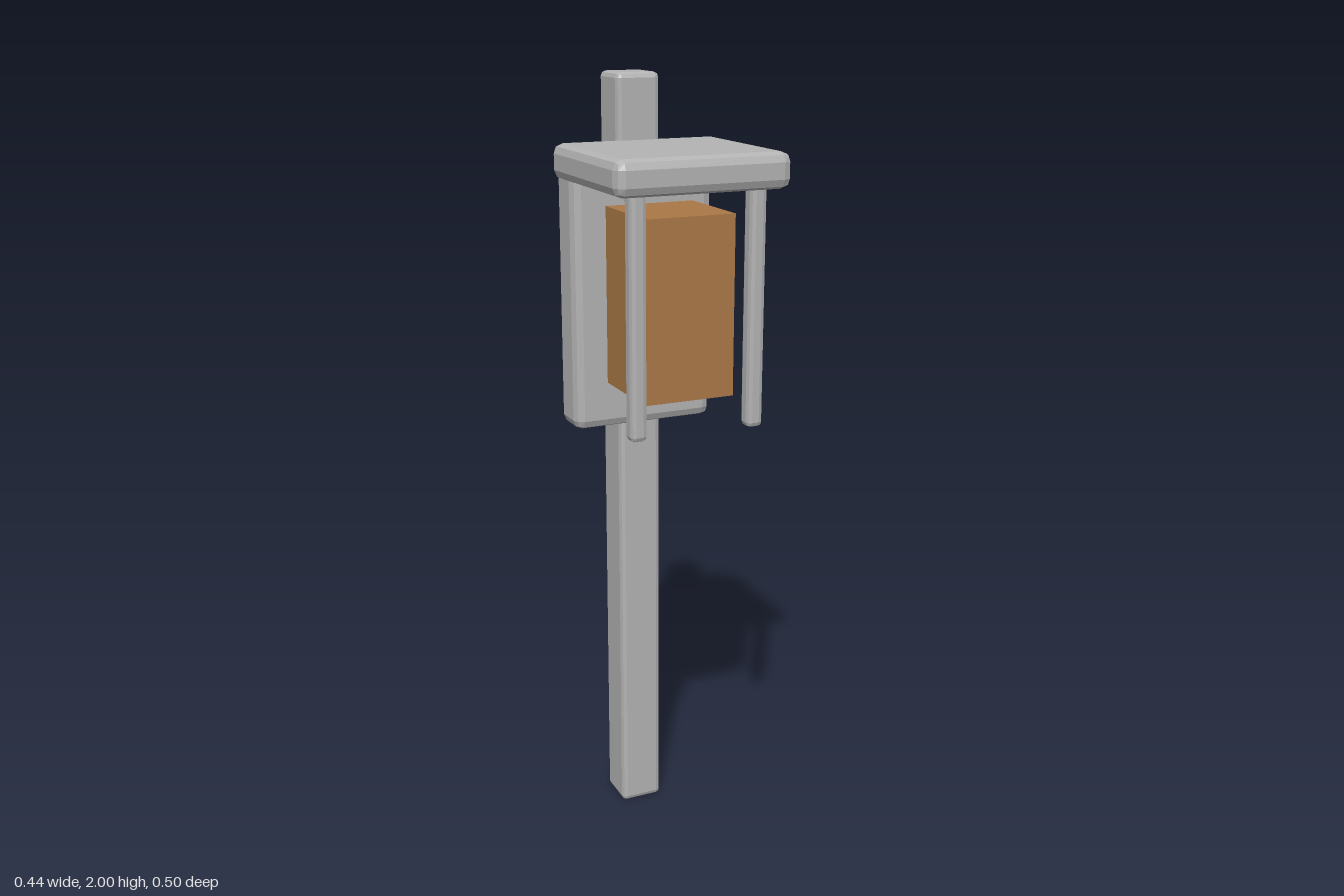
import * as THREE from 'three';
import { RoundedBoxGeometry } from 'three/addons/geometries/RoundedBoxGeometry.js';

export function createModel() {
  const model = new THREE.Group();
  const stone = new THREE.MeshStandardMaterial({ color: 0xb3b3b3, flatShading: true });
  stone.name = 'grey';
  const wood = new THREE.MeshStandardMaterial({ color: 0xaa7846, flatShading: true });
  wood.name = 'brown';

  // Box between two corners; a radius gives it a two-step bevel
  function block(name, min, max, material, radius = 0) {
    const [w, h, d] = max.map((v, i) => v - min[i]);
    const geometry = radius
      ? new RoundedBoxGeometry(w, h, d, 1, radius)
      : new THREE.BoxGeometry(w, h, d);
    const mesh = new THREE.Mesh(geometry, material);
    mesh.name = name;
    mesh.position.set(...max.map((v, i) => (v + min[i]) / 2));
    model.add(mesh);
  }

  // Upright post and the board fixed across it
  block('post', [-0.057, 0, -0.25], [0.057, 2, -0.134], stone, 0.013);
  block('backBoard', [-0.188, 1.125, -0.22], [0.188, 1.825, -0.105], stone, 0.023);

  // Overhanging roof with two hanging corner bars
  block('roof', [-0.22, 1.755, -0.163], [0.22, 1.84, 0.25], stone, 0.023);
  for (const [name, x] of [['leftBar', 0.152], ['rightBar', -0.152]]) {
    block(name, [x - 0.021, 1.183, 0.173], [x + 0.021, 1.775, 0.217], stone, 0.012);
  }

  // Sharp-edged lantern core
  block('lanternCore', [-0.116, 1.255, -0.07], [0.116, 1.695, 0.165], wood);

  return model;
}
